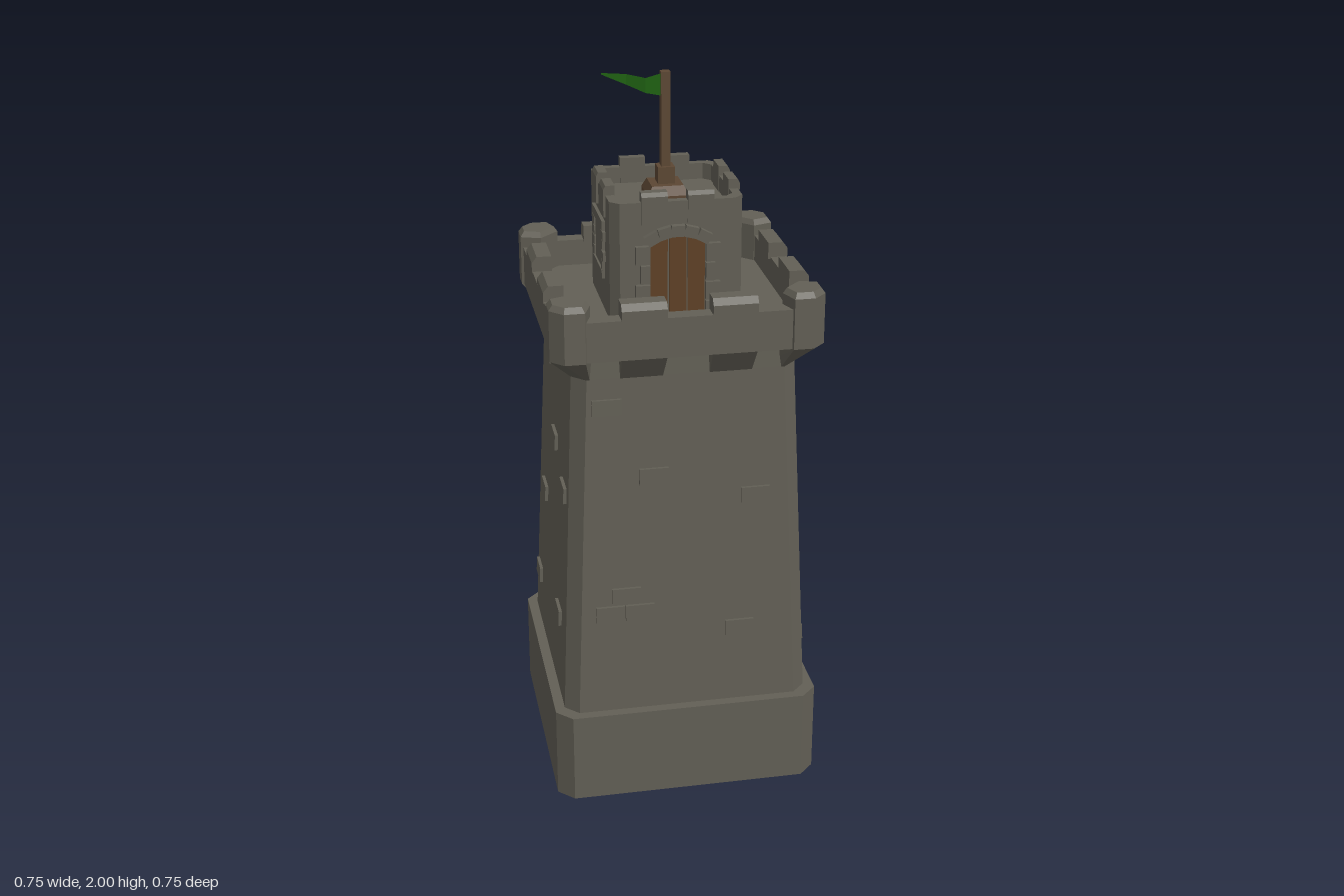
import * as THREE from 'three';

const stone = new THREE.MeshStandardMaterial({ color: 0x625f55 });
stone.name = 'stone';
const doorWood = new THREE.MeshStandardMaterial({ color: 0x5f4126 });
doorWood.name = 'doorWood';
const poleWood = new THREE.MeshStandardMaterial({ color: 0x5c4733 });
poleWood.name = 'poleWood';
const cloth = new THREE.MeshStandardMaterial({ color: 0x1d5f10, side: THREE.DoubleSide });
cloth.name = 'flagGreen';

function add(parent, name, geometry, material = stone) {
  const mesh = new THREE.Mesh(geometry, material);
  mesh.name = name;
  parent.add(mesh);
  return mesh;
}

function box(parent, name, w, h, d, x, y, z, material) {
  const mesh = add(parent, name, new THREE.BoxGeometry(w, h, d), material);
  mesh.position.set(x, y, z);
  return mesh;
}

// Square with cut corners, as [x, z] points
const octagon = (h, c) => [
  [-h + c, h], [h - c, h], [h, h - c], [h, -h + c],
  [h - c, -h], [-h + c, -h], [-h, -h + c], [-h, h - c]];
const rect = (x0, x1, z0, z1) => [[x0, z1], [x1, z1], [x1, z0], [x0, z0]];

// Flat-faced solid through stacked rings: [y, points]
function loft(...rings) {
  const pos = [];
  const n = rings[0][1].length;
  const put = (r, i) => pos.push(rings[r][1][i % n][0], rings[r][0], rings[r][1][i % n][1]);
  for (let r = 0; r < rings.length - 1; r++) {
    for (let i = 0; i < n; i++) {
      put(r, i); put(r, i + 1); put(r + 1, i + 1);
      put(r, i); put(r + 1, i + 1); put(r + 1, i);
    }
  }
  const top = rings.length - 1;
  for (let i = 1; i < n - 1; i++) {
    put(top, 0); put(top, i); put(top, i + 1);
    put(0, 0); put(0, i + 1); put(0, i);
  }
  const g = new THREE.BufferGeometry();
  g.setAttribute('position', new THREE.Float32BufferAttribute(pos, 3));
  g.computeVertexNormals();
  return g;
}

// Upright extrusion of a plan outline, with an optional hole
function plan(points, y0, y1, hole) {
  const toV = ([x, z]) => new THREE.Vector2(x, -z);
  const shape = new THREE.Shape(points.map(toV));
  if (hole) shape.holes.push(new THREE.Path(hole.map(toV)));
  const g = new THREE.ExtrudeGeometry(shape, { depth: y1 - y0, bevelEnabled: false });
  return g.rotateX(-Math.PI / 2).translate(0, y0, 0);
}

// Plank door with a shallow arch and stone surround, facing +z
function doorway(name, half, side, rise, z, jambFrom, block) {
  const g = new THREE.Group();
  g.name = name;
  const archY = x => side + rise * (1 - (x / half) ** 2);
  for (let i = 0; i < 3; i++) {
    const w = (2 * half) / 3, x0 = -half + i * w + 0.002, x1 = x0 + w - 0.004;
    const s = new THREE.Shape([[x0, 0], [x1, 0], [x1, archY(x1)],
      [(x0 + x1) / 2, archY((x0 + x1) / 2)], [x0, archY(x0)]].map(p => new THREE.Vector2(...p)));
    const geo = new THREE.ExtrudeGeometry(s, { depth: i === 1 ? 0.03 : 0.027, bevelEnabled: false });
    add(g, 'doorPlank', geo.translate(0, 0, z - 0.025), doorWood);
  }
  // Arch stones
  for (let i = -2; i <= 2; i++) {
    const x = i * half * 0.46;
    const b = box(g, 'archStone', half * 0.48, block, 0.04, x, archY(x) + block * 0.5, z - 0.004);
    b.rotation.z = -Math.atan(2 * rise * x / (half * half));
  }
  // Jamb stones of alternating width
  const count = Math.max(2, Math.round((side - jambFrom) / 0.05)), h = (side - jambFrom) / count;
  for (const s of [-1, 1]) {
    for (let i = 0; i < count; i++) {
      const w = block * ((count - i) % 2 ? 1.3 : 0.85);
      box(g, 'jambStone', w, h - 0.004, 0.036, s * (half + w / 2), jambFrom + (i + 0.5) * h, z - 0.006);
    }
  }
  return g;
}

// Blind window with a rough stone surround, facing +z
function windowFrame() {
  const g = new THREE.Group();
  g.name = 'turretWindow';
  box(g, 'windowPane', 0.114, 0.114, 0.006, 0, 1.53, 0.179);
  box(g, 'windowSill', 0.15, 0.022, 0.016, 0, 1.463, 0.179);
  box(g, 'windowLintel', 0.17, 0.026, 0.016, 0, 1.602, 0.179);
  for (const s of [-1, 1]) {
    for (let i = 0; i < 4; i++) {
      const w = i % 2 ? 0.034 : 0.021;
      box(g, 'windowSideStone', w, 0.026, 0.014, s * (0.057 + w / 2), 1.489 + i * 0.028, 0.179);
    }
  }
  return g;
}

// Raised bricks per wall: [sideways, height]
const sideBricks = [[-0.12, 1.175], [0.02, 0.97], [0.205, 0.893], [-0.155, 0.728], [0.17, 0.495], [-0.235, 0.417]];
const bricks = [
  [[-0.215, 1.175], [-0.09, 0.97], [0.19, 0.893], [-0.17, 0.62], [-0.215, 0.567], [-0.133, 0.567], [0.147, 0.493]],
  sideBricks,
  [[-0.215, 1.175], [-0.01, 0.965], [0.185, 0.893], [-0.18, 0.725], [-0.222, 0.675], [0.148, 0.485]],
  sideBricks];

export function createModel() {
  const tower = new THREE.Group();
  tower.name = 'tower';

  // Plinth with a notch for the back door
  const plinth = octagon(0.373, 0.043);
  plinth.splice(5, 0, [0.112, -0.373], [0.112, -0.335], [-0.112, -0.335], [-0.112, -0.373]);
  add(tower, 'plinth', plan(plinth, 0, 0.265));

  // Tapering shaft, deck and parapet
  add(tower, 'shaft', loft([0, octagon(0.342, 0.037)], [0.265, octagon(0.345, 0.037)],
    [1.255, octagon(0.303, 0.037)], [1.33, octagon(0.3, 0.037)]));
  add(tower, 'deck', plan(octagon(0.33, 0.04), 1.326, 1.36));
  add(tower, 'parapet', plan(octagon(0.358, 0.045), 1.325, 1.435, octagon(0.312, 0.03)));

  // Turret with its low rim
  add(tower, 'turret', plan(octagon(0.178, 0.024), 1.35, 1.645));
  add(tower, 'turretRim', plan(octagon(0.178, 0.024), 1.645, 1.69, octagon(0.155, 0.02)));

  // Everything repeated on the four sides
  const cornerTop = [[0.275, 0.365], [0.33, 0.365], [0.365, 0.33], [0.365, 0.275], [0.31, 0.255], [0.255, 0.31]];
  const cornerFoot = [[0.258, 0.304], [0.267, 0.304], [0.304, 0.267], [0.304, 0.258], [0.25, 0.235], [0.235, 0.25]];
  const cornerCap = cornerTop.map(([x, z]) => [0.31 + (x - 0.31) * 0.8, 0.31 + (z - 0.31) * 0.8]);
  for (let k = 0; k < 4; k++) {
    const side = new THREE.Group();
    side.name = 'wallSide' + (k + 1);
    side.rotation.y = k * Math.PI / 2;
    tower.add(side);
    add(side, 'cornerBastion', loft([1.255, cornerFoot], [1.325, cornerTop], [1.465, cornerTop], [1.48, cornerCap]));
    for (const x of [-0.12, 0.12]) {
      const a = x - 0.06, b = x + 0.06;
      add(side, 'merlon', loft([1.43, rect(a, b, 0.305, 0.36)], [1.46, rect(a, b, 0.305, 0.36)],
        [1.477, rect(a, b, 0.305, 0.346)]));
      add(side, 'corbel', loft([1.255, rect(a + 0.003, b - 0.003, 0.28, 0.306)],
        [1.327, rect(a, b, 0.28, 0.357)]));
    }
    for (const x of [-0.062, 0.062]) {
      const a = x - 0.035, b = x + 0.035;
      add(side, 'turretMerlon', loft([1.63, rect(a, b, 0.153, 0.184)], [1.705, rect(a, b, 0.153, 0.184)],
        [1.716, rect(a, b, 0.153, 0.178)]));
    }
    for (const [u, y] of bricks[k]) {
      const z = 0.345 - 0.0424 * (y - 0.265);
      box(side, 'raisedBrick', 0.08, 0.045, 0.024, u, y, z - 0.003).rotation.x = -0.042;
    }
    if (k % 2) side.add(windowFrame());
  }

  // Doors: turret front and ground level at the back
  const turretDoor = doorway('turretDoor', 0.075, 0.215, 0.022, 0.18, 0, 0.03);
  turretDoor.position.y = 1.36;
  tower.add(turretDoor);
  const backDoor = doorway('backDoor', 0.11, 0.375, 0.03, 0.352, 0.265, 0.045);
  backDoor.rotation.y = Math.PI;
  tower.add(backDoor);

  // Flagpole on a stepped foot
  add(tower, 'poleFoot', loft([1.64, rect(-0.055, 0.055, -0.055, 0.055)],
    [1.665, rect(-0.055, 0.055, -0.055, 0.055)], [1.69, rect(-0.043, 0.043, -0.043, 0.043)]), poleWood);
  box(tower, 'poleSocket', 0.046, 0.05, 0.046, 0, 1.711, 0, poleWood);
  box(tower, 'pole', 0.025, 0.27, 0.025, 0, 1.856, 0, poleWood);

  // Waving pennant: [x, top, bottom, z]
  const strips = [[-0.01, 1.985, 1.925, 0], [-0.055, 1.978, 1.938, 0.016], [-0.105, 1.988, 1.96, 0.004], [-0.175, 2, 1.996, 0.03]];
  const pos = [];
  for (let i = 0; i < 3; i++) {
    const [x0, t0, b0, z0] = strips[i], [x1, t1, b1, z1] = strips[i + 1];
    pos.push(x0, t0, z0, x1, t1, z1, x1, b1, z1, x0, t0, z0, x1, b1, z1, x0, b0, z0);
  }
  const flag = new THREE.BufferGeometry();
  flag.setAttribute('position', new THREE.Float32BufferAttribute(pos, 3));
  flag.computeVertexNormals();
  add(tower, 'flag', flag, cloth);

  return tower;
}
